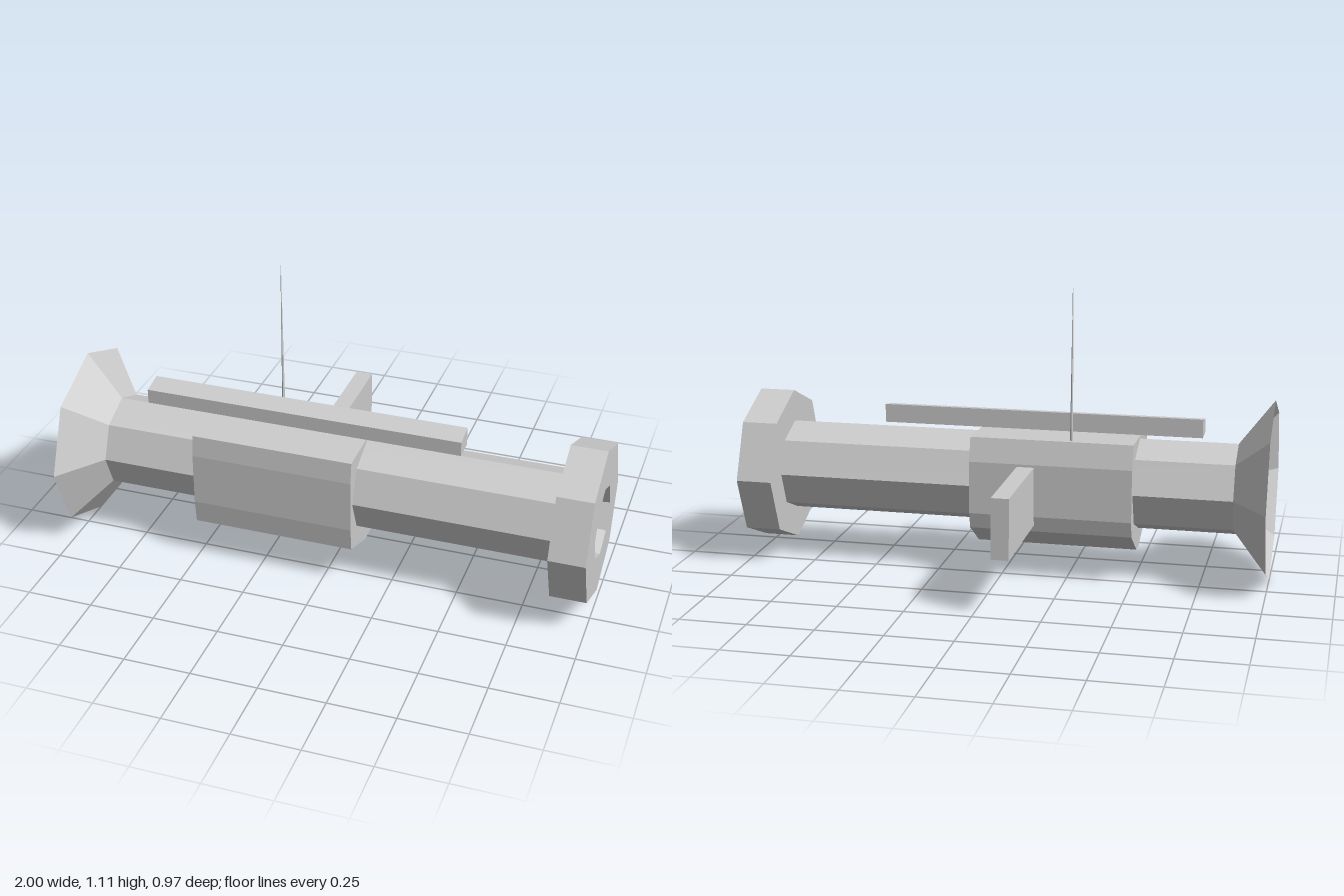
import * as THREE from 'three';

const AXIS_Y = 0.35, AXIS_Z = 0.14;
const material = new THREE.MeshStandardMaterial({ color: 0xcccccc, flatShading: true, side: THREE.DoubleSide });

export function createModel() {
  const group = new THREE.Group();

  const add = (name, geometry, x = 0, y = 0, z = 0) => {
    const mesh = new THREE.Mesh(geometry, material);
    mesh.name = name;
    mesh.position.set(x, y, z);
    group.add(mesh);
    return mesh;
  };

  // Eight-sided part turned about the long axis; profile points are [x, radius]
  const turned = (name, profile) => {
    const points = profile.map(([x, r]) => new THREE.Vector2(r, x));
    add(name, new THREE.LatheGeometry(points, 8).rotateZ(-Math.PI / 2), 0, AXIS_Y, AXIS_Z);
  };

  // Prism along x from a [z, y] cross-section
  const prism = (name, section, x0, x1) => {
    const shape = new THREE.Shape(section.map(([z, y]) => new THREE.Vector2(-z, y)));
    const geometry = new THREE.ExtrudeGeometry(shape, { depth: x1 - x0, bevelEnabled: false });
    add(name, geometry.rotateY(Math.PI / 2), x0);
  };

  // Tube with a flared rear and a tapering bore at each end
  turned('barrel', [[-0.87, 0.175], [0.865, 0.175]]);
  turned('rearFlare', [[-1, 0.347], [-0.87, 0.175], [-0.87, 0.137]]);
  turned('rearBore', [[-0.87, 0.137], [-0.2, 0.04], [-0.2, 0]]);
  turned('frontCollar', [[0.865, 0.175], [0.865, 0.297], [1, 0.297], [1, 0.137]]);
  turned('frontBore', [[1, 0.137], [0.3, 0.04], [0.3, 0]]);

  // Faceted housing around the middle of the tube
  prism('housing', [
    [0.325, 0.53], [0.335, 0.45], [0.335, 0.25], [0.325, 0.16], [0.16, 0.10],
    [0.10, 0.10], [-0.04, 0.19], [-0.055, 0.25], [-0.055, 0.45], [-0.03, 0.54],
  ], -0.5, 0.115);

  // Long rail on top, slightly sloped
  prism('topRail', [[0.18, 0.55], [0.095, 0.55], [0.095, 0.62], [0.18, 0.605]], -0.74, 0.48);

  // Flat grip plate reaching to the back
  add('gripPlate', new THREE.BoxGeometry(0.065, 0.225, 0.46), -0.10, 0.328, -0.257);

  // Thin tapering antenna
  add('antenna', new THREE.CylinderGeometry(0.001, 0.006, 0.58, 4), -0.265, 0.82, -0.005);

  return group;
}
